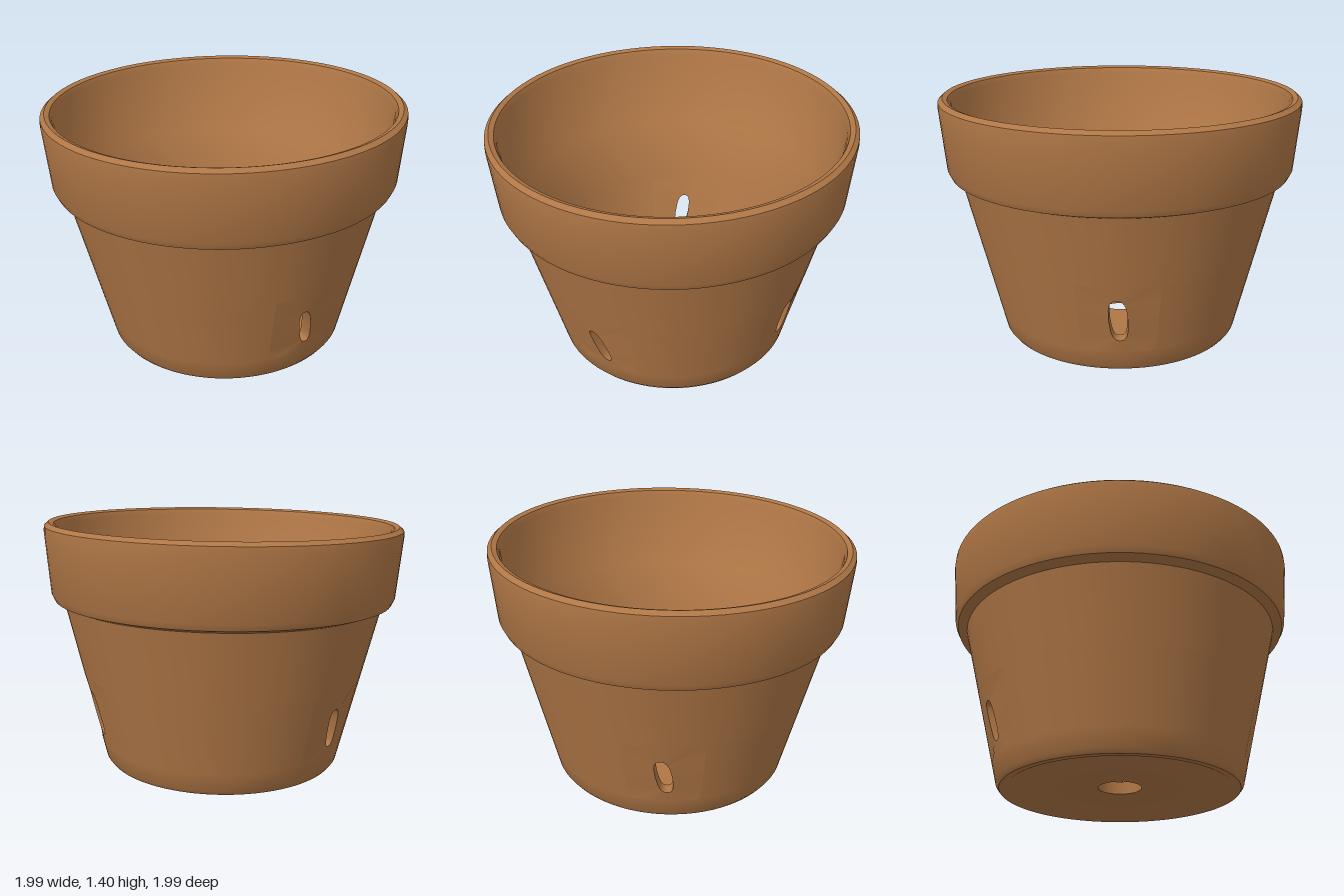
import * as THREE from 'three';
import { toCreasedNormals } from 'three/addons/utils/BufferGeometryUtils.js';

const STEPS = 90;
const STEP = (Math.PI * 2) / STEPS;
const LOW = 0.14, HIGH = 0.54; // band of the wall that holds the drain slots
const outer = (y) => 0.68 + 0.242 * (y - 0.04);
const inner = (y) => outer(y) - 0.07;

// Drain slots: angle, centre height, half width, half height, lean
const FIRST = THREE.MathUtils.degToRad(-4);
const slots = [
  { at: 0, y: 0.31, w: 0.052, h: 0.115, lean: -0.035 },
  { at: 22, y: 0.335, w: 0.066, h: 0.125, lean: -0.012 },
  { at: 52, y: 0.32, w: 0.06, h: 0.115, lean: -0.025 },
];
const HALF = 4; // half width of a slot panel, in steps

// Slight hand-made lean, then soft normals with crisp edges
function finish(geometry) {
  const p = geometry.attributes.position;
  for (let i = 0; i < p.count; i++) {
    const x = p.getX(i), y = p.getY(i);
    p.setXYZ(i, x + 0.02 * (1 - y / 1.38), y + 0.018 * x, p.getZ(i));
  }
  return toCreasedNormals(geometry, 0.7);
}

function lathe(profile, from = 0, count = STEPS) {
  const points = profile.map(([r, y]) => new THREE.Vector2(r, y));
  return finish(new THREE.LatheGeometry(points, count, FIRST + from * STEP, count * STEP));
}

// Wall panel pierced by a slot: four matching loops joined by strips
function slotPanel({ at, y, w, h, lean }) {
  const border = [];
  for (let i = 0; i < 8; i++) border.push([-1 + i / 4, -1]);
  for (let i = 0; i < 4; i++) border.push([1, -1 + i / 2]);
  for (let i = 0; i < 8; i++) border.push([1 - i / 4, 1]);
  for (let i = 0; i < 4; i++) border.push([-1, 1 - i / 2]);
  const n = border.length;
  const soften = (t) => Math.sign(t) * Math.pow(Math.abs(t), 0.75);

  const rect = border.map(([u, v]) => [u * HALF * STEP, v < 0 ? LOW + (v + 1) * (y - LOW) : y + v * (HIGH - y)]);
  const hole = border.map(([u, v]) => {
    const a = Math.atan2(v, u);
    const s = soften(Math.sin(a));
    return [w * soften(Math.cos(a)) + lean * s, y + h * s];
  });

  const positions = [], index = [];
  const addLoop = (loop, radius) => loop.forEach(([a, height]) => {
    const angle = FIRST + at * STEP + a, r = radius(height);
    positions.push(r * Math.sin(angle), height, r * Math.cos(angle));
  });
  addLoop(rect, outer);
  addLoop(hole, outer);
  addLoop(hole, inner);
  addLoop(rect, inner);
  for (let k = 0; k < 3; k++) {
    for (let i = 0; i < n; i++) {
      const a = k * n + i, b = k * n + ((i + 1) % n);
      index.push(a, b, b + n, a, b + n, a + n);
    }
  }
  const geometry = new THREE.BufferGeometry();
  geometry.setAttribute('position', new THREE.Float32BufferAttribute(positions, 3));
  geometry.setIndex(index);
  return finish(geometry);
}

export function createModel() {
  const group = new THREE.Group();
  group.name = 'flowerPot';
  const terracotta = new THREE.MeshStandardMaterial({ color: 0xb07746 });
  terracotta.name = 'terracotta';
  const add = (name, geometry) => {
    const mesh = new THREE.Mesh(geometry, terracotta);
    mesh.name = name;
    group.add(mesh);
  };

  // Floor with central drain hole, recessed underside and rounded foot
  add('base', lathe([
    [inner(LOW), LOW], [0.62, 0.122], [0.12, 0.11], [0.12, 0.04], [0.58, 0.04],
    [0.625, 0.016], [0.662, 0.016], [outer(0.04), 0.04], [outer(LOW), LOW],
  ]));

  // Upper wall and overhanging rim
  add('upperWallAndRim', lathe([
    [outer(HIGH), HIGH], [outer(0.94), 0.94], [0.95, 0.96], [0.967, 0.995],
    [0.997, 1.33], [0.995, 1.362], [0.972, 1.382], [0.945, 1.372], [0.932, 1.34],
    [0.89, 1.02], [inner(0.93), 0.93], [inner(HIGH), HIGH],
  ]));

  // Lower wall: slotted panels and the plain stretches between them
  slots.forEach((slot, i) => {
    add('slotPanel', slotPanel(slot));
    const next = i + 1 < slots.length ? slots[i + 1].at : STEPS;
    const from = slot.at + HALF, count = next - HALF - from;
    add('lowerWallOutside', lathe([[outer(LOW), LOW], [outer(HIGH), HIGH]], from, count));
    add('lowerWallInside', lathe([[inner(HIGH), HIGH], [inner(LOW), LOW]], from, count));
  });

  return group;
}
